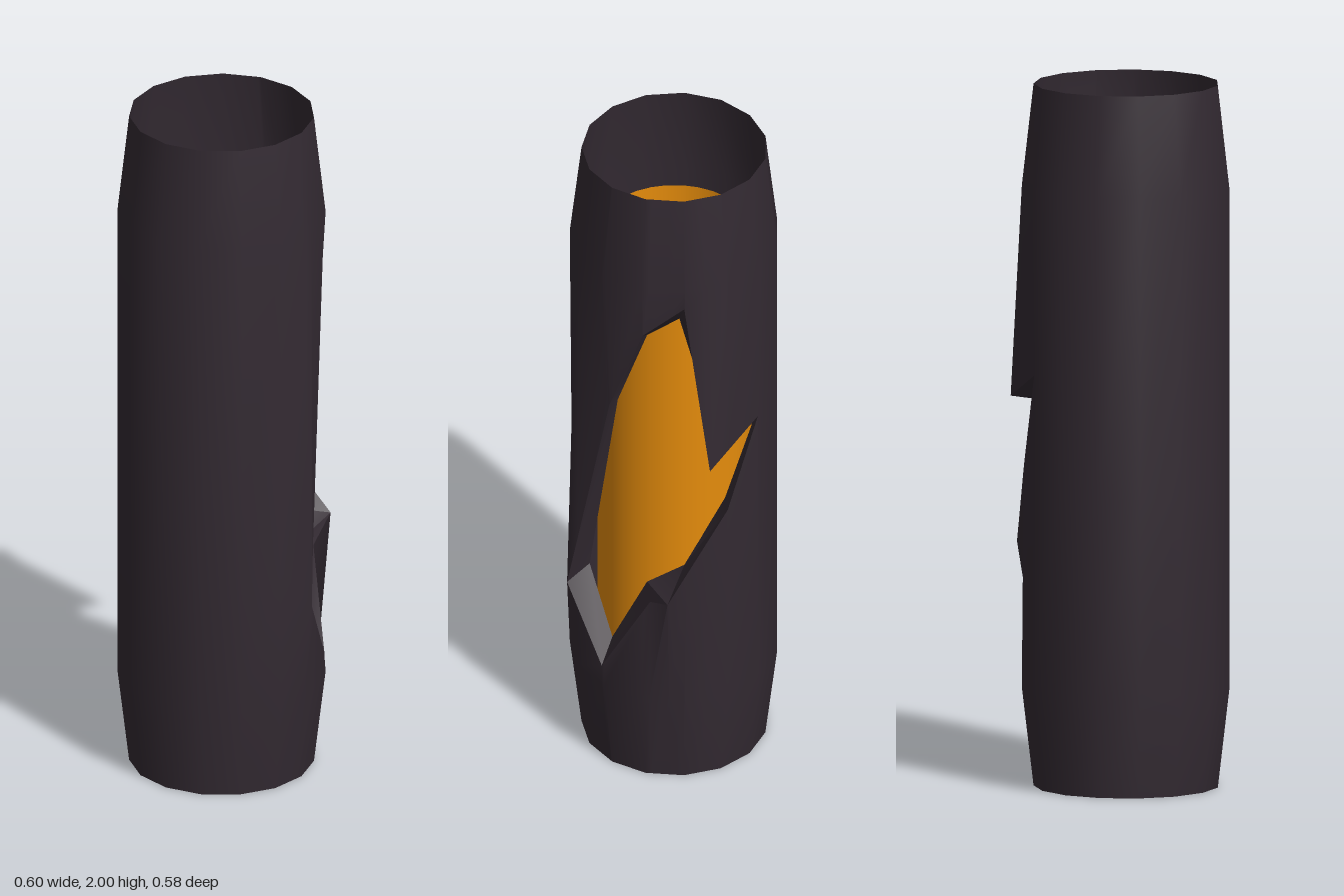
import * as THREE from 'three';
import { toCreasedNormals } from 'three/addons/utils/BufferGeometryUtils.js';

const AXIS_X = -0.007, AXIS_Z = 0.003, SIDES = 15, TAU = Math.PI * 2;
const WALL = 0.295, RIM = 0.262;
const START = -1.64; // angle where the torn opening begins

// Point relative to the tube axis, with its angle about it
const point = (x, y, z) => {
  let a = Math.atan2(z - AXIS_Z, x - AXIS_X);
  if (a < START) a += TAU;
  return { x: x - AXIS_X, y, z: z - AXIS_Z, a };
};
const ringPoint = (r, y, k) => {
  const a = -Math.PI / 2 + (k * TAU) / SIDES;
  return { x: r * Math.cos(a), y, z: r * Math.sin(a), a };
};
const ring = (r, y) => Array.from({ length: SIDES + 3 }, (_, i) => ringPoint(r, y, i - 1));

// Where the chain of straight edges crosses the angle a
function at(chain, a) {
  let i = 0;
  while (i < chain.length - 2 && chain[i + 1].a < a) i++;
  const p = chain[i], q = chain[i + 1];
  const cross = (v) => v.x * Math.sin(a) - v.z * Math.cos(a);
  const t = THREE.MathUtils.clamp(cross(p) / (cross(p) - cross(q)), 0, 1);
  return [p.x + (q.x - p.x) * t, p.y + (q.y - p.y) * t, p.z + (q.z - p.z) * t];
}

const geometryFrom = (positions, crease) => {
  const g = new THREE.BufferGeometry();
  g.setAttribute('position', new THREE.Float32BufferAttribute(positions, 3));
  g.computeVertexNormals();
  return toCreasedNormals(g, crease);
};
const quad = (out, a, b, c, d) => out.push(...a, ...b, ...c, ...c, ...b, ...d);

export function createModel() {
  const dark = new THREE.MeshStandardMaterial({ color: 0x332a32, side: THREE.DoubleSide });
  const orange = new THREE.MeshStandardMaterial({ color: 0xe58c0c, side: THREE.DoubleSide });
  const group = new THREE.Group();
  group.name = 'tornTube';
  const add = (name, geometry, material) => {
    const m = new THREE.Mesh(geometry, material);
    m.name = name;
    m.position.set(AXIS_X, 0, AXIS_Z);
    group.add(m);
    return m;
  };

  // Outer edge of the opening: from the back corner over the top to the front corner
  const back = point(-0.01, 1.185, -0.286), front = point(0.25, 0.555, 0.19);
  const upper = [
    point(0.19, 1.10, -0.265), point(0.21, 1.645, -0.19), point(0.265, 1.54, -0.085),
    point(0.26, 1.245, 0.035),
  ];
  const lower = [
    point(0.104, 0.915, -0.264), point(0.297, 0.667, -0.195), point(0.25, 0.61, -0.1),
    point(0.283, 0.345, 0.045),
  ];
  // Inner edge of the opening, pressed in towards the core
  const innerBack = point(-0.065, 1.13, -0.235), innerFront = point(0.19, 0.6, 0.155);
  const innerUpper = [
    point(0.075, 1.10, -0.215), point(0.165, 1.565, -0.14), point(0.21, 1.5, -0.06),
    point(0.22, 1.24, 0.035),
  ];
  const innerLower = [
    point(0.05, 0.905, -0.215), point(0.155, 0.705, -0.15), point(0.21, 0.64, -0.06),
    point(0.225, 0.41, 0.05),
  ];

  // Behind the opening both edges share a seam round the intact wall
  const seam = [];
  for (let k = 7; k <= 14; k++) seam.push(ringPoint(WALL, 0.85, k));
  const close = { ...back, a: back.a + TAU };
  const upperChain = [back, ...upper, front, ...seam, close];
  const lowerChain = [back, ...lower, front, ...seam, close];

  // Angles of every ring corner and every corner of the opening
  const angles = [...upperChain, ...lowerChain, ...ring(1, 0)]
    .map((p) => p.a)
    .filter((a) => a >= back.a && a <= close.a)
    .sort((a, b) => a - b)
    .filter((a, i, all) => i === 0 || a - all[i - 1] > 1e-4);

  // Shell: tapered ends, straight wall, torn edge
  const bands = [
    [ring(RIM, 0), ring(WALL, 0.28)], [ring(WALL, 0.28), lowerChain],
    [upperChain, ring(WALL, 1.71)], [ring(WALL, 1.71), ring(RIM, 2)],
  ];
  const shell = [];
  for (const [low, high] of bands) {
    for (let i = 0; i < angles.length - 1; i++) {
      const a = angles[i], b = angles[i + 1];
      quad(shell, at(low, a), at(high, a), at(low, b), at(high, b));
    }
  }
  add('outerShell', geometryFrom(shell, 1.5), dark);

  // Lip joining the outer and inner edges of the opening
  const outerLoop = [back, ...upper, front, ...lower.slice().reverse()];
  const innerLoop = [innerBack, ...innerUpper, innerFront, ...innerLower.slice().reverse()];
  const xyz = (p) => [p.x, p.y, p.z];
  const lip = [];
  outerLoop.forEach((p, i) => {
    const n = (i + 1) % outerLoop.length;
    quad(lip, xyz(p), xyz(outerLoop[n]), xyz(innerLoop[i]), xyz(innerLoop[n]));
  });
  add('openingLip', geometryFrom(lip, 0.5), dark);

  // Core seen through the opening
  const core = add('innerCore', new THREE.CylinderGeometry(0.217, 0.217, 1.42, 30, 1, true), orange);
  core.position.y = 1;

  return group;
}
